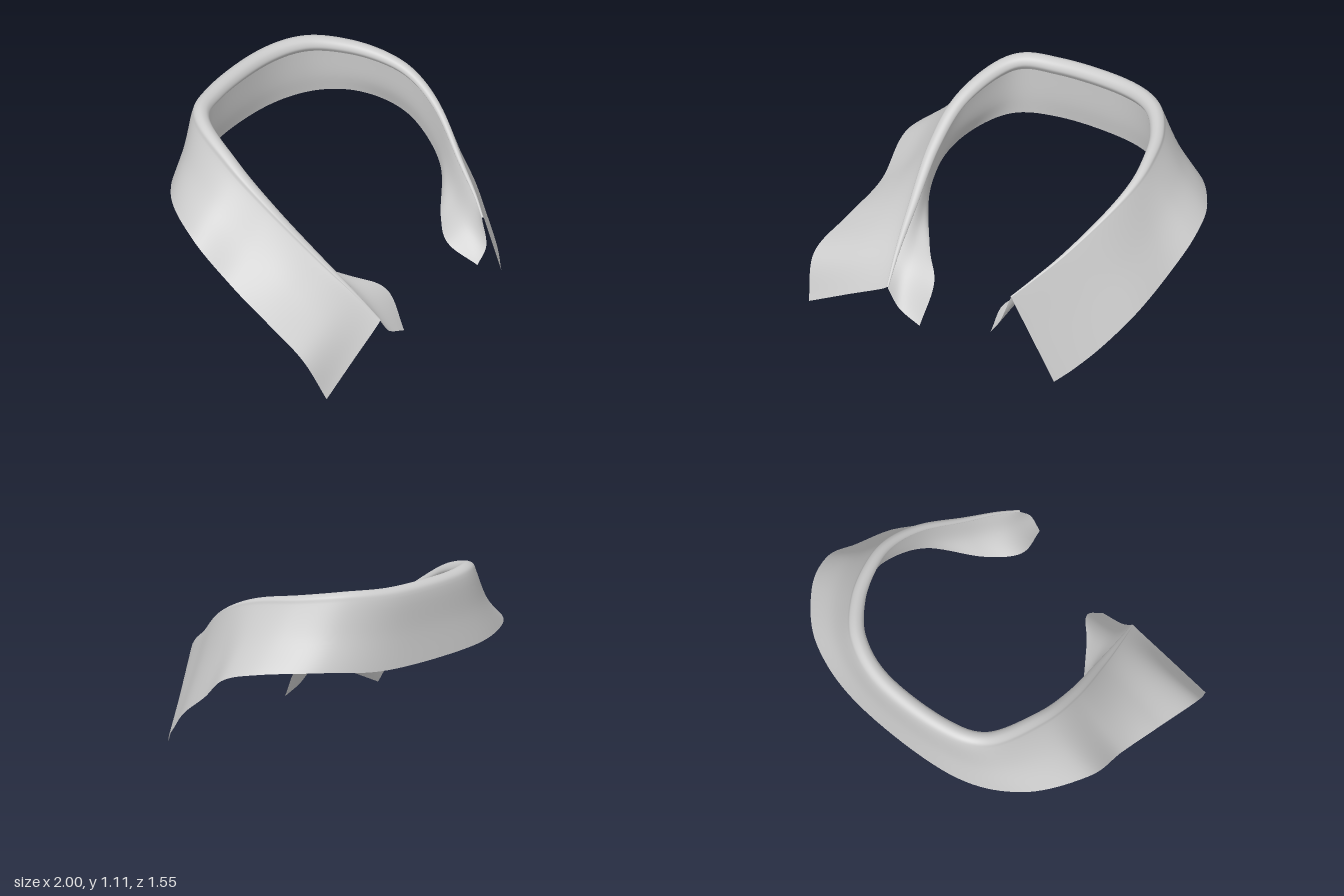
import * as THREE from 'three';

// Stations run from the right front point, round the back, to the left front point.
// Each: fold crest, outer hem, inner hem.
const STATIONS = [
  [[-0.45, 0.25, 0.66], [-0.95, 0, 0.68], [-0.24, 0.07, 0.66]],
  [[-0.49, 0.4, 0.5], [-1, 0.23, 0.55], [-0.23, 0.28, 0.53]],
  [[-0.53, 0.56, 0.3], [-0.96, 0.34, 0.27], [-0.37, 0.38, 0.36]],
  [[-0.58, 0.8, 0], [-0.92, 0.44, 0], [-0.6, 0.5, 0]],
  [[-0.57, 0.98, -0.28], [-0.915, 0.635, -0.28], [-0.62, 0.63, -0.28]],
  [[-0.45, 1.09, -0.585], [-0.7, 0.685, -0.6], [-0.47, 0.72, -0.56]],
  [[-0.2, 1.1, -0.685], [-0.33, 0.675, -0.765], [-0.2, 0.73, -0.68]],
  [[0.2, 1.105, -0.69], [0.3, 0.67, -0.77], [0.2, 0.73, -0.685]],
  [[0.46, 1.11, -0.59], [0.7, 0.71, -0.655], [0.47, 0.745, -0.58]],
  [[0.62, 1.08, -0.4], [0.93, 0.695, -0.42], [0.63, 0.75, -0.4]],
  [[0.7, 1.035, -0.18], [1, 0.63, -0.2], [0.73, 0.7, -0.2]],
  [[0.715, 0.965, 0], [0.96, 0.475, 0], [0.73, 0.63, 0]],
  [[0.665, 0.85, 0.2], [0.9, 0.32, 0.23], [0.64, 0.5, 0.22]],
  [[0.55, 0.68, 0.43], [0.8, 0.17, 0.42], [0.4, 0.38, 0.41]],
  [[0.46, 0.575, 0.6], [0.71, 0.07, 0.56], [0.26, 0.34, 0.57]],
  [[0.39, 0.5, 0.71], [0.63, 0, 0.65], [0.285, 0.26, 0.755]],
];

const rail = (k) => new THREE.CatmullRomCurve3(
  STATIONS.map((s) => new THREE.Vector3(...s[k])), false, 'catmullrom');

// Blend horizontally by h and vertically by v
const mix = (a, b, h, v) => new THREE.Vector3(
  a.x + (b.x - a.x) * h, a.y + (b.y - a.y) * v, a.z + (b.z - a.z) * h);

// Loft a sheet through a row of cross-section curves
function loft(name, sections, steps, material) {
  const positions = [], index = [], w = steps + 1;
  sections.forEach((points, i) => {
    const curve = new THREE.CatmullRomCurve3(points);
    for (let j = 0; j <= steps; j++) {
      positions.push(...curve.getPoint(j / steps).toArray());
      if (i && j) {
        const d = i * w + j, c = d - 1, b = d - w, a = b - 1;
        index.push(a, b, c, b, d, c);
      }
    }
  });
  const geometry = new THREE.BufferGeometry();
  geometry.setAttribute('position', new THREE.Float32BufferAttribute(positions, 3));
  geometry.setIndex(index);
  geometry.computeVertexNormals();
  const mesh = new THREE.Mesh(geometry, material);
  mesh.name = name;
  return mesh;
}

export function createModel() {
  const group = new THREE.Group();
  group.name = 'shirtCollar';
  const material = new THREE.MeshStandardMaterial({ color: 0xcccccc, side: THREE.DoubleSide });

  const [fold, outerHem, innerHem] = [0, 1, 2].map(rail);
  const fallSections = [], standSections = [];
  const N = 150;
  for (let i = 0; i <= N; i++) {
    const u = i / N;
    const F = fold.getPoint(u), O = outerHem.getPoint(u), I = innerHem.getPoint(u);
    const t = fold.getTangent(u);
    const out = new THREE.Vector3(t.z, 0, -t.x).normalize();

    // The roll is thick at the back and flat at the points; the sides flare in a hollow
    const swell = Math.max(0, Math.sin(Math.PI * u ** 0.82));
    const r = 0.006 + 0.044 * swell ** 1.5;
    const hollow = 0.07 * swell ** 2;
    const around = (side, drop) => F.clone().addScaledVector(out, side * r).setY(F.y - drop * r);

    // Turned-down fall, rolled over the crest and tucked in behind it
    const P = around(1, 1), tuck = around(-0.6, 1.7);
    const middle = mix(O, P, 0.5 + hollow * 1.6, 0.5 - hollow * 0.3);
    fallSections.push([O, middle, P, around(0.7, 0.3), F, around(-0.7, 0.3), around(-1, 1), tuck]);

    // Upright stand inside, opening into a curled tab at each front end
    const curl = mix(tuck, I, 0.35, 0.6);
    curl.z += 0.04 * u ** 30;
    standSections.push([tuck, curl, I]);
  }
  group.add(loft('fall', fallSections, 42, material));
  group.add(loft('stand', standSections, 14, material));
  return group;
}
